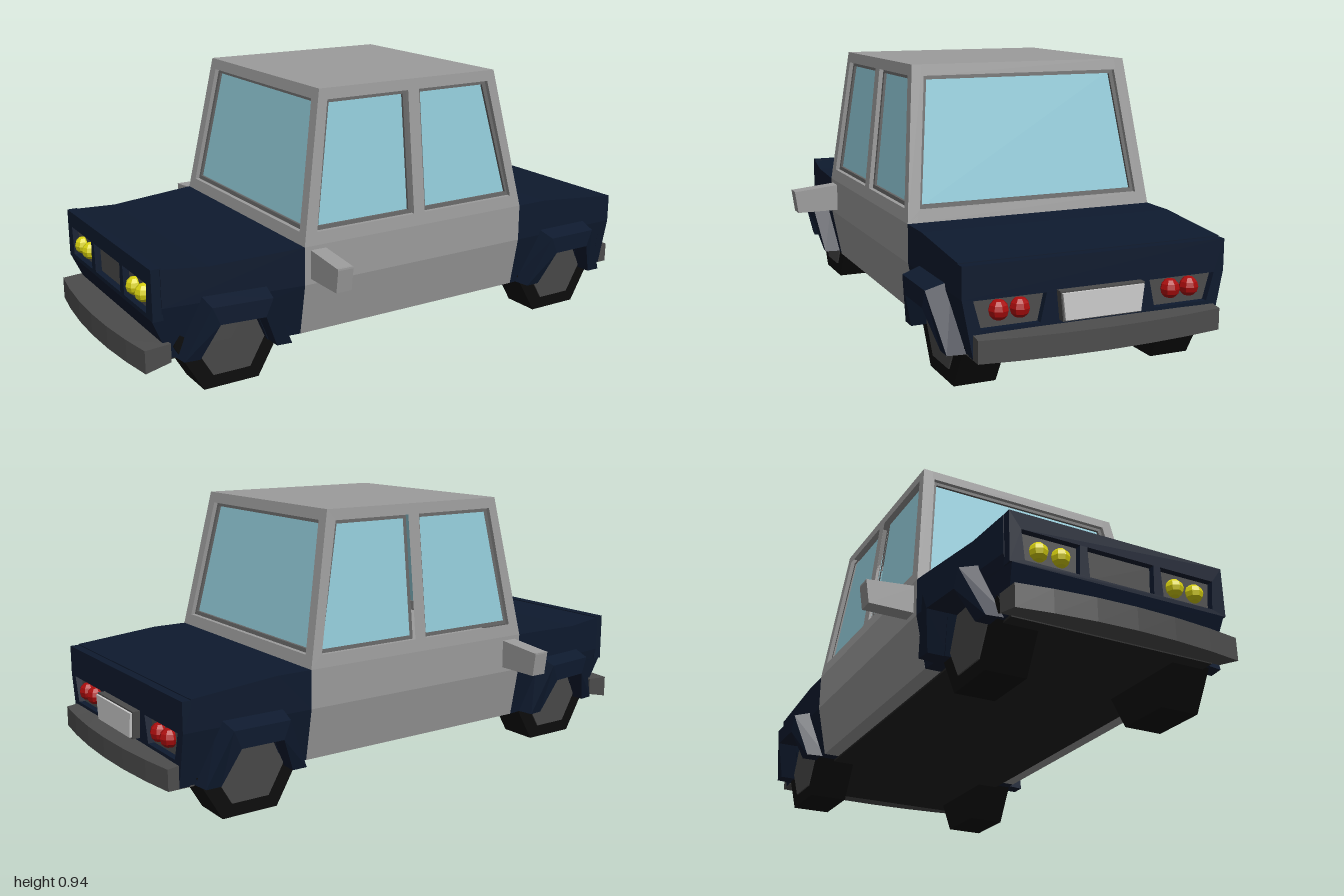
import * as THREE from 'three';

const mat = (color) => new THREE.MeshStandardMaterial({ color, flatShading: true });
const M = {
  paint: mat(0x0e1a2e), cabin: mat(0x9c9c9c), plate: mat(0xc0c0c0), rim: mat(0x666666),
  glass: mat(0x92cbd9), bumper: mat(0x4c4c4c), dark: mat(0x222222), tyre: mat(0x0c0c0c),
  hub: mat(0x484848), red: mat(0xaa0d0d), yellow: mat(0xd6cf10),
};

// Joins cross-sections of equal length into a closed solid, facing outward
function loft(sections) {
  const tris = [], n = sections[0].length, last = sections.length - 1;
  for (let i = 0; i < last; i++) {
    for (let j = 0; j < n; j++) {
      const k = (j + 1) % n, [a, b] = [sections[i], sections[i + 1]];
      tris.push([a[j], a[k], b[k]], [a[j], b[k], b[j]]);
    }
  }
  for (let j = 1; j < n - 1; j++) {
    const [a, b] = [sections[0], sections[last]];
    tris.push([a[0], a[j + 1], a[j]], [b[0], b[j], b[j + 1]]);
  }
  let volume = 0;
  for (const t of tris) {
    const [p, q, r] = t.map((v) => new THREE.Vector3(...v));
    volume += p.dot(q.cross(r));
  }
  if (volume < 0) tris.forEach((t) => t.reverse());
  const g = new THREE.BufferGeometry();
  g.setAttribute('position', new THREE.Float32BufferAttribute(tris.flat(2), 3));
  g.computeVertexNormals();
  return g;
}

const toShape = (pts) => new THREE.Shape(pts.map((p) => new THREE.Vector2(...p)));

function moveVertices(g, rule) {
  const p = g.attributes.position;
  for (let i = 0; i < p.count; i++) p.setZ(i, rule(p.getX(i), p.getY(i), p.getZ(i)));
  g.computeVertexNormals();
  return g;
}

// Wall with holes, leaning so that its outer face follows face(y), turned to one side
function panel(outline, holes, depth, face, angle) {
  const s = toShape(outline);
  holes.forEach((h) => s.holes.push(new THREE.Path(toShape(h).getPoints())));
  const g = new THREE.ExtrudeGeometry(s, { depth, bevelEnabled: false });
  return moveVertices(g, (x, y, z) => z + face(y) - depth).rotateY(angle);
}

// Half width of the body
const halfWidth = (x) => (x < -0.43 ? 0.445 - 0.12 * (-0.43 - x) : 0.445);
const tuck = (y) => (y < 0.31 ? 0.92 + (0.08 * (y - 0.13)) / 0.18 : 1);

// Side profile spread over the full body width
function slab(profile) {
  const g = new THREE.ExtrudeGeometry(toShape(profile), { depth: 2, bevelEnabled: false });
  return moveVertices(g, (x, y, z) => (z - 1) * halfWidth(x) * tuck(y));
}

const mirrorX = (pts) => pts.map(([x, y]) => [-x, y]);
const trapezoid = (b0, b1, t0, t1, yb, yt) => [[b0, yb], [b1, yb], [t1, yt], [t0, yt]];
function inset(pts, d) {
  const cx = pts.reduce((s, p) => s + p[0], 0) / pts.length;
  const cy = pts.reduce((s, p) => s + p[1], 0) / pts.length;
  return pts.map(([x, y]) => [x + Math.sign(cx - x) * d, y + Math.sign(cy - y) * d]);
}

export function createModel() {
  const car = new THREE.Group();
  car.name = 'car';
  const add = (name, geometry, material, x = 0, y = 0, z = 0) => {
    const m = new THREE.Mesh(geometry, material);
    m.name = name;
    m.position.set(x, y, z);
    car.add(m);
    return m;
  };

  // Door section
  const doorRing = (x) => [[x, 0.13, -0.41], [x, 0.13, 0.41], [x, 0.31, 0.445],
    [x, 0.44, 0.445], [x, 0.44, -0.445], [x, 0.31, -0.445]];
  add('doorSection', loft([doorRing(-0.43), doorRing(0.475)]), M.cabin);

  // Cabin walls with recessed windows
  const wall = (name, outline, holes, face, angle) => {
    add(name, panel(outline, holes, 0.035, face, angle), M.cabin);
    holes.forEach((h) => {
      add('windowRim', panel(h, [inset(h, 0.013)], 0.015, (y) => face(y) - 0.015, angle), M.rim);
      add('windowGlass', panel(h, [], 0.008, (y) => face(y) - 0.024, angle), M.glass);
    });
  };
  const sideOutline = trapezoid(-0.43, 0.475, -0.34, 0.375, 0.44, 0.94);
  const sideWindows = [trapezoid(-0.38, 0.005, -0.312, 0.005, 0.483, 0.903),
    trapezoid(0.05, 0.433, 0.05, 0.345, 0.483, 0.903)];
  const sideFace = (y) => 0.445 - 0.11 * (y - 0.44);
  wall('leftCabinWall', sideOutline, sideWindows, sideFace, 0);
  wall('rightCabinWall', mirrorX(sideOutline), sideWindows.map(mirrorX), sideFace, Math.PI);
  const endOutline = trapezoid(-0.445, 0.445, -0.39, 0.39, 0.44, 0.94);
  const endWindow = trapezoid(-0.4, 0.4, -0.352, 0.352, 0.48, 0.903);
  wall('rearCabinWall', endOutline, [endWindow], (y) => 0.475 - 0.2 * (y - 0.44), Math.PI / 2);
  wall('frontCabinWall', endOutline, [endWindow], (y) => 0.43 - 0.18 * (y - 0.44), -Math.PI / 2);
  add('roof', new THREE.BoxGeometry(0.715, 0.02, 0.78), M.cabin, 0.0175, 0.93, 0);

  // Bonnet and boot: upper shell, and lower shell with wheel openings
  const opening = (cx) => [[cx - 0.125, 0.13], [cx - 0.07, 0.26], [cx + 0.07, 0.26], [cx + 0.125, 0.13]];
  const frontX = -0.67, rearX = 0.69;
  add('bonnet', slab([[-0.905, 0.31], [-0.43, 0.31], [-0.43, 0.44], [-0.75, 0.425], [-0.905, 0.437]]), M.paint);
  add('frontLowerBody', slab([[-0.88, 0.13], ...opening(frontX), [-0.43, 0.13], [-0.43, 0.31],
    [-0.905, 0.31], [-0.905, 0.27], [-0.935, 0.27], [-0.9, 0.19]]), M.paint);
  add('boot', slab([[0.475, 0.31], [0.9, 0.31], [0.9, 0.413], [0.6, 0.44], [0.475, 0.44]]), M.paint);
  add('rearLowerBody', slab([[0.475, 0.13], ...opening(rearX), [0.9, 0.13], [0.9, 0.31], [0.475, 0.31]]), M.paint);
  add('underside', new THREE.BoxGeometry(1.81, 0.012, 0.71), M.dark, 0.02, 0.129, 0);

  // Nose and tail faces with lamp recesses
  const fascia = (name, outline, holes, reach, angle) => {
    add(name, panel(outline, holes, 0.035, () => reach, angle), M.paint);
    holes.forEach((h) => add('recessPanel', panel(h, [], 0.01, () => reach - 0.022, angle), M.bumper));
  };
  const headRecess = trapezoid(0.15, 0.335, 0.145, 0.345, 0.285, 0.385);
  const tailRecess = trapezoid(0.195, 0.385, 0.175, 0.41, 0.215, 0.305);
  const grille = trapezoid(-0.115, 0.115, -0.12, 0.12, 0.285, 0.385);
  fascia('noseFace', trapezoid(-0.385, 0.385, -0.385, 0.385, 0.27, 0.44),
    [headRecess, mirrorX(headRecess), grille], 0.935, -Math.PI / 2);
  fascia('tailFace', [[-0.41, 0.13], [0.41, 0.13], [0.445, 0.31], [0.445, 0.41], [-0.445, 0.41], [-0.445, 0.31]],
    [tailRecess, mirrorX(tailRecess)], 0.93, Math.PI / 2);
  const plateOutline = trapezoid(-0.133, 0.133, -0.143, 0.143, 0.217, 0.31);
  add('plateHolder', panel(plateOutline, [], 0.04, () => 0.955, Math.PI / 2), M.bumper);
  add('numberPlate', panel(inset(plateOutline, 0.005), [], 0.01, () => 0.963, Math.PI / 2), M.plate);

  // Bumpers, bowed in plan
  const bumper = (name, dir, half, outer, inner) => {
    const rings = [-1, -0.7, -0.35, 0, 0.35, 0.7, 1].map((t) => {
      const x = dir * (1 - 0.033 * t * t), z = t * half;
      return [[dir * 0.88, inner[0], z], [x, outer[0], z], [x, outer[1], z], [dir * 0.88, inner[1], z]];
    });
    add(name, loft(rings), M.bumper);
  };
  bumper('frontBumper', -1, 0.388, [0.108, 0.185], [0.128, 0.19]);
  bumper('rearBumper', 1, 0.41, [0.128, 0.198], [0.128, 0.21]);

  // Parts on both sides
  const arch = [[-1, 0], [-1, 1], [1, 1], [1, 0]];
  for (const side of [1, -1]) {
    for (const z of [0.205, 0.28]) {
      add('headlamp', new THREE.SphereGeometry(0.031, 8, 6), M.yellow, -0.918, 0.333, side * z);
    }
    for (const z of [0.257, 0.325]) {
      add('tailLamp', new THREE.SphereGeometry(0.032, 8, 6), M.red, 0.917, 0.267, side * z);
    }

    for (const [end, cx, wheelZ] of [['front', frontX, 0.308], ['rear', rearX, 0.345]]) {
      // Flared fender: angular band around the wheel opening
      const rings = arch.map(([s, top]) => {
        const point = (x, y, out) => [cx + s * x, y, side * (halfWidth(cx + s * x) + out)];
        return top
          ? [point(0.11, 0.335, -0.02), point(0.1, 0.31, 0.06), point(0.075, 0.25, 0.06), point(0.075, 0.25, -0.05)]
          : [point(0.19, 0.13, -0.05), point(0.18, 0.13, 0.023), point(0.128, 0.13, 0.023), point(0.128, 0.13, -0.05)];
      });
      add(end + 'Fender', loft(rings), M.paint);
      // Six-sided wheel
      const hex = (r, w) => new THREE.CylinderGeometry(r, r, w, 6).rotateY(Math.PI / 6).rotateX(Math.PI / 2);
      add(end + 'Tyre', hex(0.196, 0.138), M.tyre, cx, 0.17, side * wheelZ);
      add(end + 'Hub', hex(0.132, 0.02), M.hub, cx, 0.16, side * (wheelZ + 0.064));
    }

    // Door mirror
    const mirrorRing = (z, yb, yt) => [[-0.407, yb, side * z], [-0.35, yb, side * z],
      [-0.35, yt, side * z], [-0.407, yt, side * z]];
    add('doorMirror', loft([[0.43, 0.328, 0.428], [0.6, 0.328, 0.411], [0.611, 0.405, 0.411]]
      .map((r) => mirrorRing(...r))), M.cabin);
  }
  return car;
}
